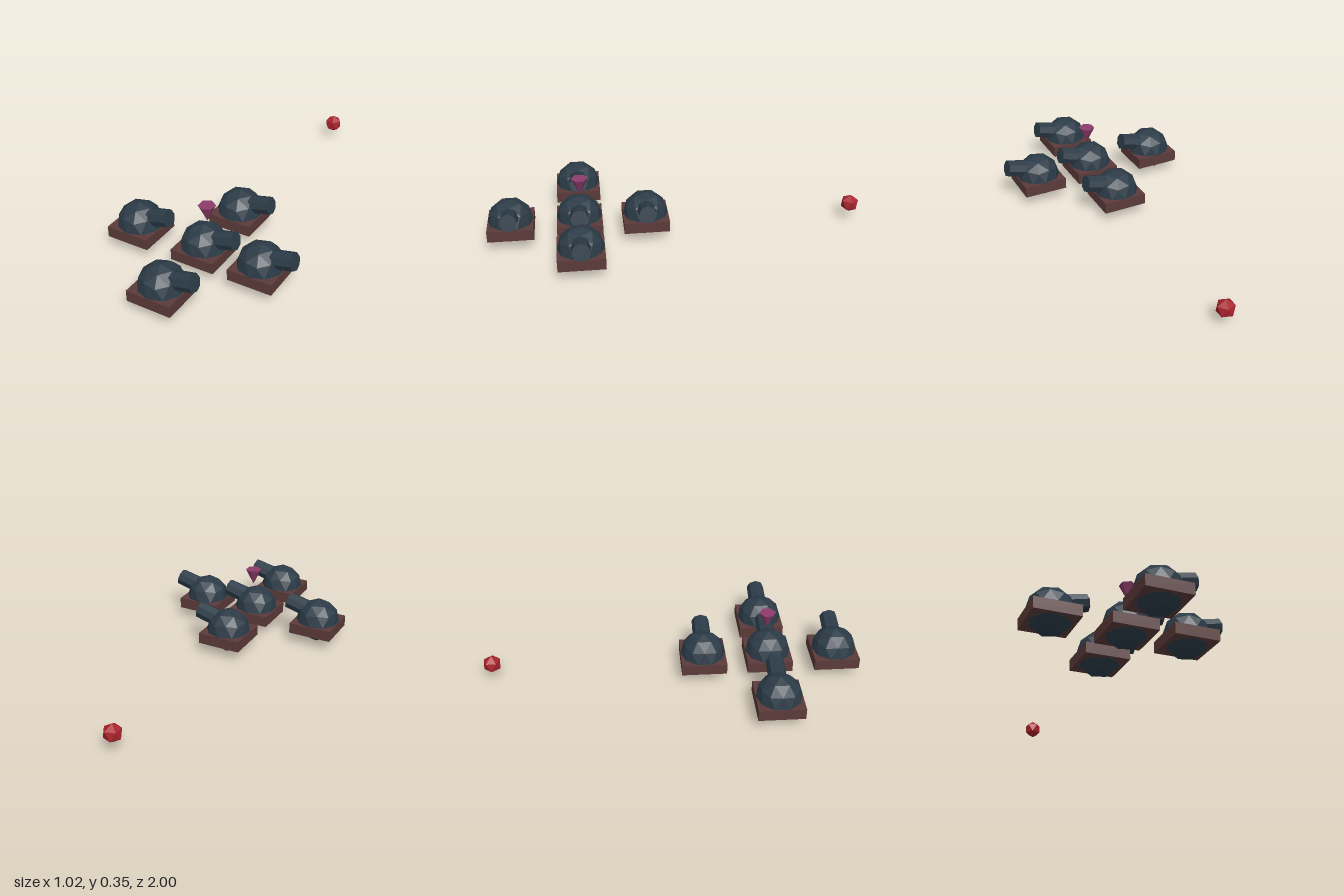
import * as THREE from 'three';

const flat = (name, color) => {
  const m = new THREE.MeshStandardMaterial({ color, flatShading: true });
  m.name = name;
  return m;
};

function part(name, geometry, material, x, y, z) {
  const mesh = new THREE.Mesh(geometry, material);
  mesh.name = name;
  mesh.position.set(x, y, z);
  return mesh;
}

// Faceted ball turned so that a corner points straight up
const ball = (radius, detail) =>
  new THREE.IcosahedronGeometry(radius, detail)
    .rotateZ(-Math.atan2(2, 1 + Math.sqrt(5)));

export function createModel() {
  const slate = flat('dark slate', 0x2b3b47);
  const brown = flat('reddish brown', 0x5c3a3a);
  const magenta = flat('magenta', 0x8c3c6c);
  const red = flat('red', 0xa8232d);

  const model = new THREE.Group();
  model.name = 'turretCluster';

  // Shared turret shapes: ball, square plate and upward-tilted barrel
  const dome = ball(0.12, 1);
  const plate = new THREE.BoxGeometry(0.24, 0.06, 0.24);
  const tilt = THREE.MathUtils.degToRad(14);
  const barrel = new THREE.CylinderGeometry(0.0465, 0.05, 0.18, 8)
    .rotateZ(tilt - Math.PI / 2);

  // Five turrets in a cross
  const spots = [[-0.39, 0.52], [-0.004, 0.52], [0.317, 0.52], [-0.004, 0.17], [-0.004, 0.88]];
  for (const [x, z] of spots) {
    const turret = new THREE.Group();
    turret.name = 'turret';
    turret.position.set(x, 0, z);
    turret.add(
      part('dome', dome, slate, 0, 0.12, 0),
      part('basePlate', plate, brown, 0, 0.09, 0),
      part('barrel', barrel, slate, 0.093, 0.18, 0)
    );
    model.add(turret);
  }

  // Six-sided marker pointing down at the middle turret
  model.add(part('marker', new THREE.CylinderGeometry(0.044, 0, 0.09, 6), magenta, 0.012, 0.305, 0.51));

  // Distant target ball
  model.add(part('target', ball(0.05, 0), red, -0.004, 0.097, -0.957));

  return model;
}
